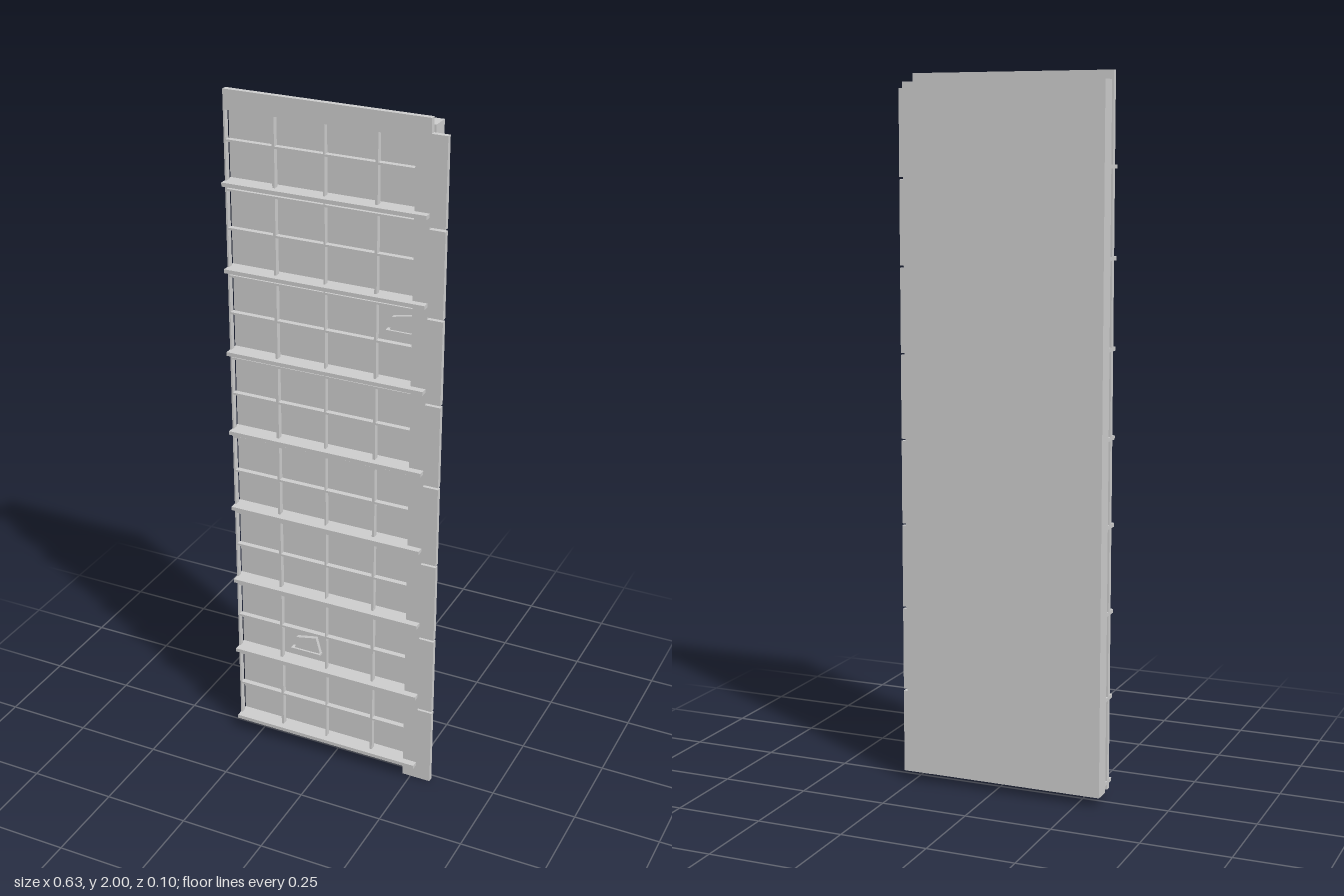
import * as THREE from 'three';

const material = new THREE.MeshStandardMaterial({ color: 0xcccccc, flatShading: true });

export function createModel() {
  const model = new THREE.Group();

  // Box given by its limits on each axis
  function box(name, x0, x1, y0, y1, z0, z1) {
    const mesh = new THREE.Mesh(new THREE.BoxGeometry(x1 - x0, y1 - y0, z1 - z0), material);
    mesh.position.set((x0 + x1) / 2, (y0 + y1) / 2, (z0 + z1) / 2);
    mesh.name = name;
    model.add(mesh);
  }

  const left = -0.316, right = 0.267, columnX = 0.225, columnEdge = 0.311;
  const back = 0.014, front = 0.03;
  const storeys = 8, step = 0.2428, firstLedge = 0.05;

  // Wall slab and top band
  box('wallSlab', left, right, 0.027, 1.975, -0.052, 0);
  box('topBand', left, right, 1.945, 2, back, front);

  for (let i = 0; i < storeys; i++) {
    const y = firstLedge + i * step;
    const head = y + 0.222;

    // Projecting floor ledge
    box('floorLedge', left, right, y - 0.006, y + 0.005, 0, 0.05);

    // Window bars of this storey
    if (i < storeys - 1) box('headBar', left, columnX, head - 0.003, head + 0.003, back, front);
    box('middleBar', left, columnX, y + 0.111, y + 0.117, back, front);
    box('sideBar', left, left + 0.005, y - 0.02, y + 0.219, back, front);
    box('mullion', -0.176, -0.169, y, head, back, front);
    box('mullion', -0.029, -0.025, y - 0.02, head, back, front);
    box('mullion', 0.117, 0.124, y, head, back, front);

    // Edge strip: continuous inner part and separate outer panels
    const bottom = i === 0 ? 0 : i * 0.245 + 0.003;
    const top = i === storeys - 1 ? 1.96 : (i + 1) * 0.245 - 0.003;
    box('edgePanel', right - 0.002, columnEdge, bottom, top, back + 0.001, front);
  }
  box('edgeStrip', columnX, right, 0, 1.945, back + 0.001, front);

  // Small slanted boxes on sills, set between wall and window bars
  function sillBox(x, y) {
    const outline = new THREE.Shape([
      new THREE.Vector2(-0.037, 0), new THREE.Vector2(-0.032, 0.04),
      new THREE.Vector2(0.032, 0.053), new THREE.Vector2(0.045, 0.004),
    ]);
    const geometry = new THREE.ExtrudeGeometry(outline, { depth: 0.012, bevelEnabled: false });
    const mesh = new THREE.Mesh(geometry, material);
    mesh.position.set(x, y, 0);
    mesh.name = 'slantedBox';
    model.add(mesh);
    box('smallSill', x - 0.047, x + 0.047, y - 0.003, y + 0.003, 0, 0.018);
  }
  sillBox(-0.1, 0.328);
  sillBox(0.192, 1.408);

  return model;
}
